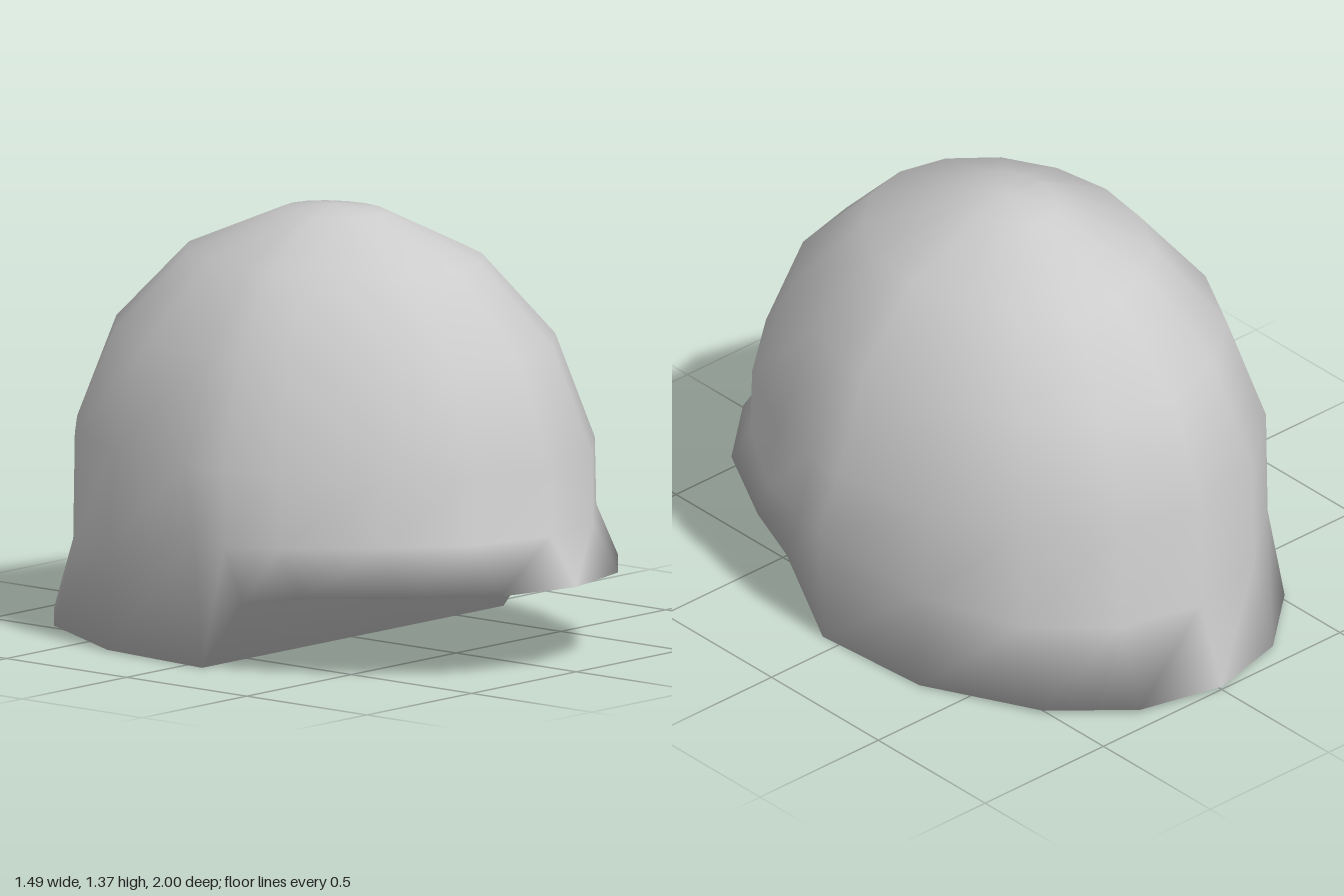
import * as THREE from 'three';

// One half of each lower outline, from front centre round the left side to back centre: [x, y, z]
const rim = [
  [0, 0.27, 1], [0.28, 0.27, 0.93], [0.51, 0.27, 0.73], [0.66, 0.255, 0.44], [0.72, 0.225, 0.24],
  [0.72, 0, 0.07], [0.69, 0.003, -0.35], [0.51, 0.01, -0.73], [0.28, 0.01, -0.93], [0, 0.01, -1],
];
const brow = [
  [0, 0.42, 0.895], [0.28, 0.42, 0.825], [0.52, 0.42, 0.63], [0.685, 0.41, 0.36], [0.728, 0.4, 0.17],
  [0.745, 0.4, 0.06], [0.68, 0.33, -0.35], [0.515, 0.28, -0.645], [0.28, 0.27, -0.84], [0, 0.27, -0.905],
];
// Plan directions of the dome columns: 22.5 degree steps with one extra column beside the ear
const columns = [0, 22.5, 45, 67.5, null, 90, 112.5, 135, 157.5, 180].map((deg) => {
  if (deg === null) return [0.968, 0.165];
  const a = THREE.MathUtils.degToRad(deg);
  return [Math.sin(a), Math.cos(a)];
});

// Dome ring at an angle down from the crown
function domeRing(deg) {
  const a = THREE.MathUtils.degToRad(deg);
  const r = Math.sin(a), y = 0.456 + 0.916 * Math.cos(a);
  return columns.map(([x, z]) => [0.738 * r * x, y, 0.917 * r * z - 0.005]);
}

// Completes a half outline by mirroring it across x = 0
function mirrorRing(half) {
  const right = half.slice(1, -1).reverse().map(([x, y, z]) => [-x, y, z]);
  return [...half, ...right];
}

function helmetGeometry() {
  const rings = [rim, brow, ...[78.75, 56.25, 33.75, 11.25].map(domeRing)].map(mirrorRing);
  const n = rings[0].length;
  const positions = rings.flat(2);
  const index = [];

  // Flared rim and dome walls
  for (let r = 0; r < rings.length - 1; r++) {
    for (let i = 0; i < n; i++) {
      const j = (i + 1) % n;
      const a = r * n + i, b = r * n + j;
      index.push(a, b, b + n, a, b + n, a + n);
    }
  }

  // Crown
  const top = positions.length / 3;
  positions.push(0, 1.373, -0.005);
  const last = (rings.length - 1) * n;
  for (let i = 0; i < n; i++) index.push(last + i, last + ((i + 1) % n), top);

  // Underside: brim, slanted step and neck base, spanned from left to right
  for (let i = 0; i < rim.length - 1; i++) {
    const left = i, right = (n - i) % n;
    const nextLeft = i + 1, nextRight = n - i - 1;
    if (left !== right) index.push(left, right, nextLeft);
    if (nextLeft !== nextRight) index.push(right, nextRight, nextLeft);
  }

  const geometry = new THREE.BufferGeometry();
  geometry.setAttribute('position', new THREE.Float32BufferAttribute(positions, 3));
  geometry.setIndex(index);
  geometry.computeVertexNormals();
  return geometry;
}

export function createModel() {
  const group = new THREE.Group();
  group.name = 'helmet';
  const shell = new THREE.Mesh(helmetGeometry(), new THREE.MeshStandardMaterial({ color: 0xcccccc }));
  shell.name = 'helmetShell';
  group.add(shell);
  return group;
}
